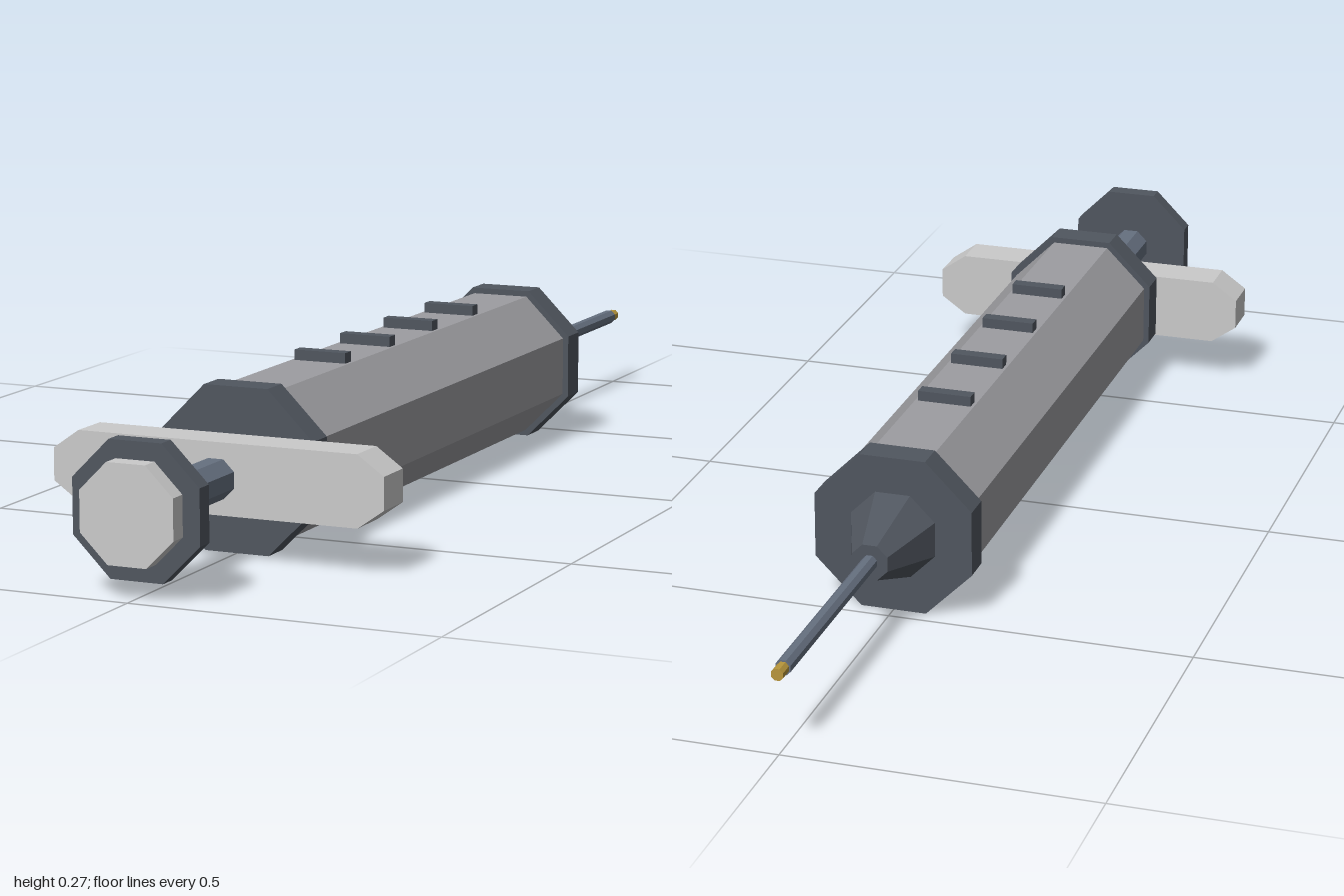
import * as THREE from 'three';

const mat = (name, color) => {
  const m = new THREE.MeshStandardMaterial({ color, flatShading: true });
  m.name = name;
  return m;
};

export function createModel() {
  const slate = mat('dark slate', 0x50565f);
  const steel = mat('blue steel', 0x667080);
  const grey = mat('barrel grey', 0x9d9da1);
  const pale = mat('pale grey', 0xcacaca);
  const gold = mat('gold', 0xb8963c);

  const model = new THREE.Group();
  model.name = 'syringe';
  const axisY = 0.131;

  const add = (name, geometry, material, x, y, z) => {
    const mesh = new THREE.Mesh(geometry, material);
    mesh.name = name;
    mesh.position.set(x, y, z);
    model.add(mesh);
  };

  // Octagonal prism along z with flat sides up; sizes are centre-to-flat
  const prism = (name, material, zBack, zFront, back, front = back) => {
    const k = 1 / Math.cos(Math.PI / 8);
    const g = new THREE.CylinderGeometry(front * k, back * k, zFront - zBack, 8);
    g.rotateY(Math.PI / 8).rotateX(Math.PI / 2);
    add(name, g, material, 0, axisY, (zBack + zFront) / 2);
  };

  // Barrel, collars and nozzle
  prism('barrel', grey, -0.425, 0.59, 0.121);
  prism('frontCollar', slate, 0.59, 0.64, 0.131);
  prism('backCollar', slate, -0.475, -0.425, 0.131);
  prism('nozzle', slate, -0.587, -0.475, 0.029, 0.07);

  // Needle and tip
  prism('needle', steel, -0.975, -0.587, 0.012);
  prism('needleTip', gold, -1, -0.975, 0.0095);

  // Plunger
  prism('plungerRod', steel, 0.64, 0.94, 0.031);
  prism('plungerDisc', slate, 0.94, 0.97, 0.105);
  prism('plungerCap', pale, 0.97, 1, 0.077);

  // Finger flange with cut corners
  const outline = [[0.281, 0.026], [0.237, 0.057], [-0.237, 0.057], [-0.281, 0.026],
    [-0.281, -0.026], [-0.237, -0.057], [0.237, -0.057], [0.281, -0.026]];
  const shape = new THREE.Shape(outline.map(([x, y]) => new THREE.Vector2(x, y)));
  const flange = new THREE.ExtrudeGeometry(shape, { depth: 0.07, bevelEnabled: false });
  add('fingerFlange', flange, pale, 0, axisY, 0.64);

  // Graduation marks on top of the barrel
  for (let i = 0; i < 4; i++) {
    add('graduationMark', new THREE.BoxGeometry(0.09, 0.03, 0.022), slate, 0, 0.254, -0.2 + i * 0.175);
  }
  return model;
}
